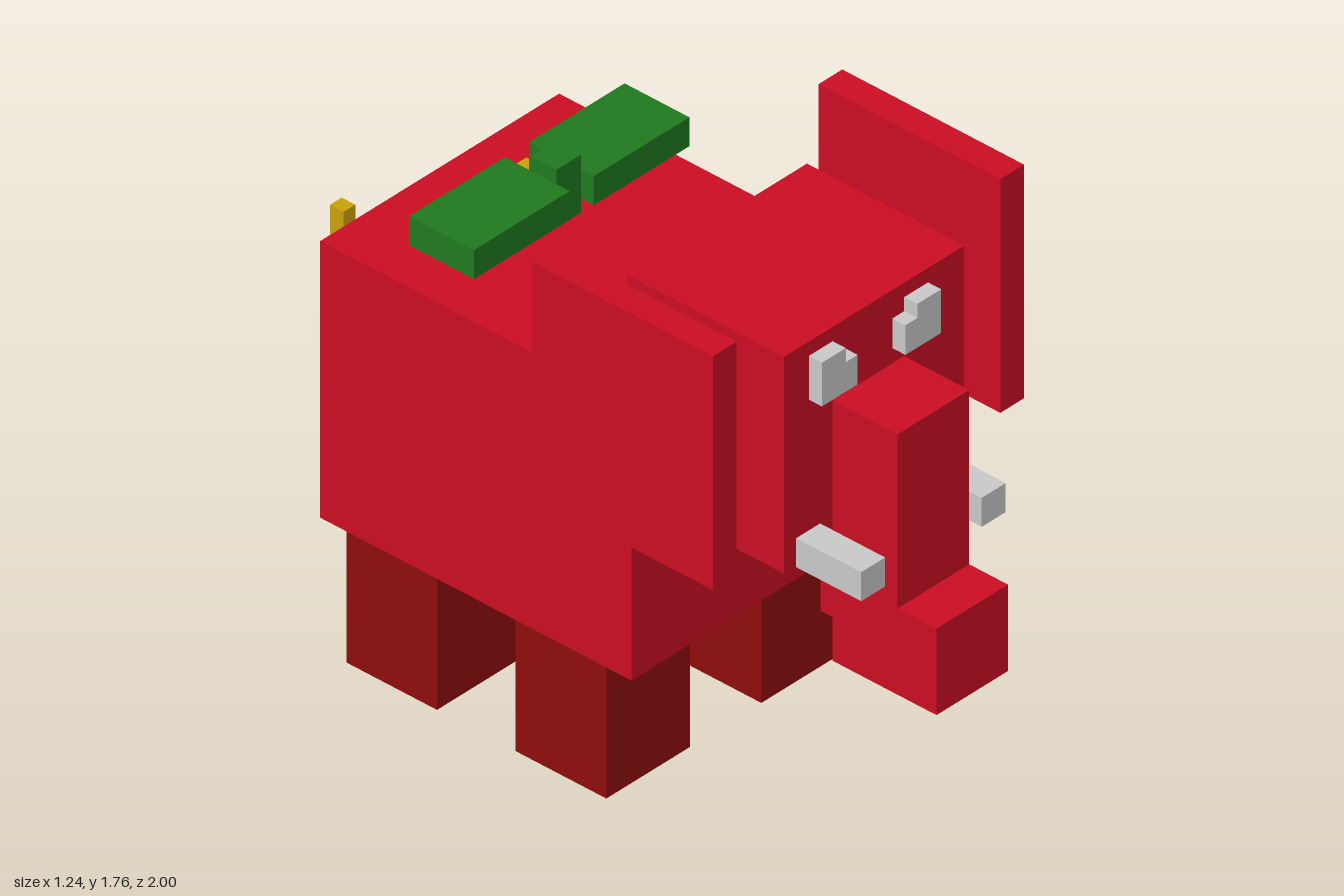
import * as THREE from 'three';

function material(name, color) {
  const m = new THREE.MeshStandardMaterial({ color });
  m.name = name;
  return m;
}

export function createModel() {
  const model = new THREE.Group();
  model.name = 'blockElephant';

  const red = material('red', 0xcc0e22);
  const darkRed = material('darkRed', 0x8f0d0d);
  const green = material('green', 0x207a20);
  const grey = material('lightGrey', 0xcacaca);
  const gold = material('gold', 0xcaa20c);

  // Box given by its [min, max] range on each axis
  function block(name, mat, [x0, x1], [y0, y1], [z0, z1], parent = model) {
    const mesh = new THREE.Mesh(new THREE.BoxGeometry(x1 - x0, y1 - y0, z1 - z0), mat);
    mesh.position.set((x0 + x1) / 2, (y0 + y1) / 2, (z0 + z1) / 2);
    mesh.name = name;
    parent.add(mesh);
  }

  // Body and head
  block('body', red, [-0.475, 0.475], [0.43, 1.335], [-0.95, 0.19]);
  block('head', red, [-0.335, 0.38], [0.91, 1.62], [0.045, 0.62]);

  // Trunk: upright part and forward tip
  block('trunk', red, [-0.142, 0.142], [0.67, 1.38], [0.575, 0.858]);
  block('trunkTip', red, [-0.142, 0.142], [0.527, 0.81], [0.62, 1.0]);

  // Mirrored parts
  for (const [side, s] of [['left', 1], ['right', -1]]) {
    const span = (a, b) => (s > 0 ? [a, b] : [-b, -a]);

    block(side + 'FrontLeg', darkRed, span(0.142, 0.474), [0, 0.43], [-0.235, 0.097]);
    block(side + 'BackLeg', darkRed, span(0.142, 0.474), [0, 0.43], [-0.855, -0.523]);
    block(side + 'Ear', red, span(0.524, 0.618), [1.0, 1.765], [-0.045, 0.62]);
    block(side + 'Tusk', grey, span(0.192, 0.287), [0.907, 1.002], [0.62, 0.858]);

    // L-shaped eye, notched at its upper inner corner
    const shape = new THREE.Shape([
      [0.095, 1.43], [0.237, 1.43], [0.237, 1.573],
      [0.142, 1.573], [0.142, 1.527], [0.095, 1.527],
    ].map(([x, y]) => new THREE.Vector2(s * x, y)));
    const eye = new THREE.Mesh(
      new THREE.ExtrudeGeometry(shape, { depth: 0.048, bevelEnabled: false }), grey);
    eye.position.z = 0.62;
    eye.name = side + 'Eye';
    model.add(eye);
  }

  // Bow floating above the back
  const bow = new THREE.Group();
  bow.name = 'bow';
  model.add(bow);
  block('bowLeftLoop', green, [0.048, 0.428], [1.43, 1.525], [-0.667, -0.43], bow);
  block('bowRightLoop', green, [-0.428, -0.048], [1.43, 1.525], [-0.667, -0.43], bow);
  block('bowKnot', green, [-0.048, 0.048], [1.383, 1.573], [-0.572, -0.477], bow);

  // Small gold studs on the back
  block('rearStud', gold, [-0.382, -0.335], [1.288, 1.383], [-1.0, -0.95]);
  block('topStud', gold, [0.095, 0.142], [1.335, 1.383], [-0.763, -0.715]);

  return model;
}
